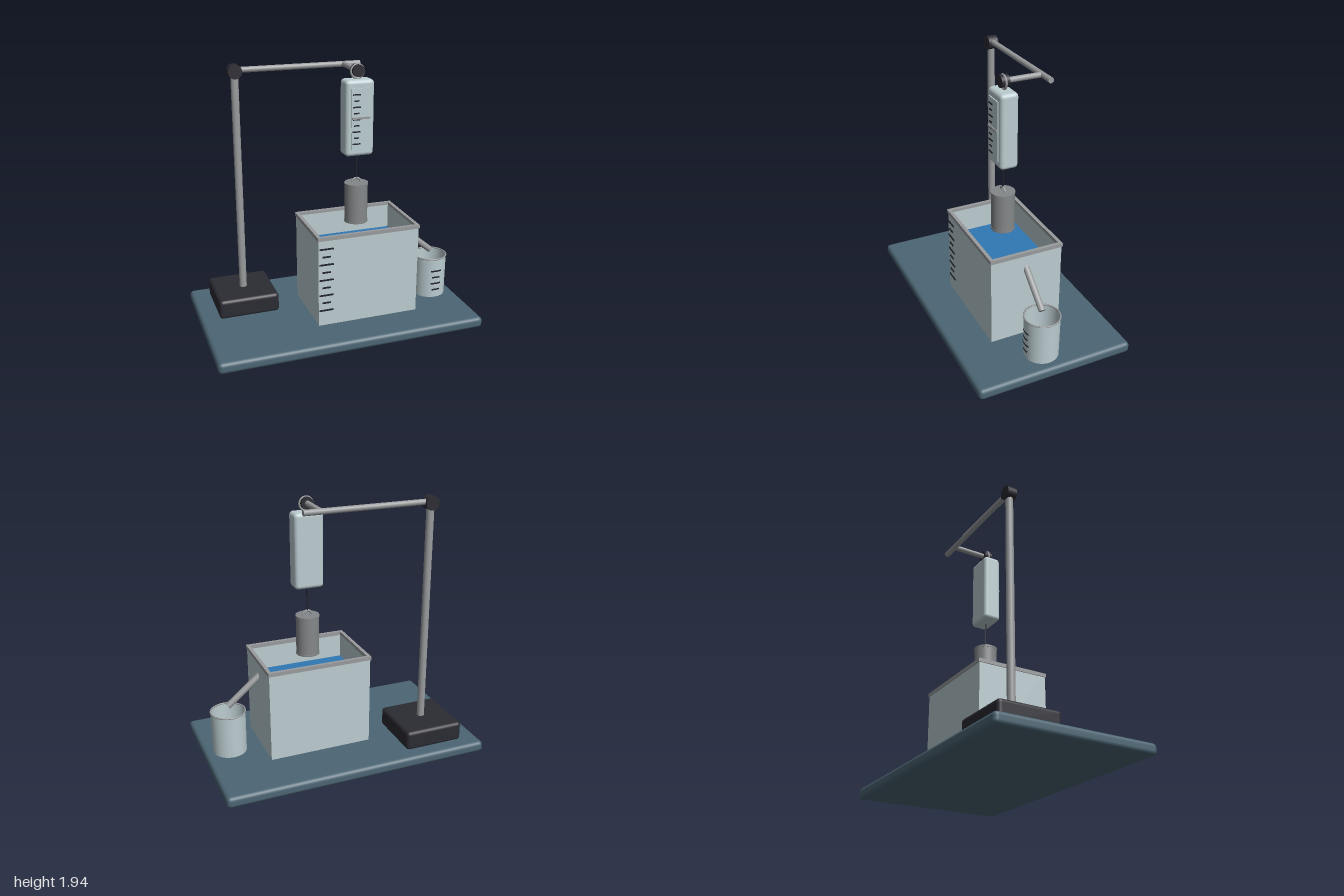
import * as THREE from 'three';
import { RoundedBoxGeometry } from 'three/addons/geometries/RoundedBoxGeometry.js';

const mat = (name, color, side = THREE.FrontSide) => {
  const m = new THREE.MeshStandardMaterial({ color, side });
  m.name = name;
  return m;
};

export function createModel() {
  const model = new THREE.Group();
  model.name = 'displacementExperiment';

  const slate = mat('slate blue', 0x4c6674);
  const dark = mat('charcoal', 0x2b2b33);
  const steel = mat('steel', 0x999b9d);
  const iron = mat('weight grey', 0x85888a);
  const glass = mat('pale glass', 0xbccdd1, THREE.DoubleSide);
  const water = mat('water blue', 0x2f78b4);
  const ink = mat('ink', 0x20242c);

  const add = (name, geo, material, x, y, z, parent = model) => {
    const m = new THREE.Mesh(geo, material);
    m.name = name;
    m.position.set(x, y, z);
    parent.add(m);
    return m;
  };
  const box = (w, h, d) => new THREE.BoxGeometry(w, h, d);
  const rounded = (w, h, d, r) => new RoundedBoxGeometry(w, h, d, 3, r);
  // Round bar between two points
  const rod = (name, a, b, r, material) => {
    const from = new THREE.Vector3(...a), to = new THREE.Vector3(...b);
    const dir = to.clone().sub(from);
    const mid = from.clone().add(to).multiplyScalar(0.5);
    const m = add(name, new THREE.CylinderGeometry(r, r, dir.length(), 24), material, mid.x, mid.y, mid.z);
    m.quaternion.setFromUnitVectors(new THREE.Vector3(0, 1, 0), dir.normalize());
    return m;
  };

  const cx = 0.183, cz = 0.037; // axis of the hanging parts

  // Base board
  add('board', rounded(2, 0.084, 1.18, 0.03), slate, 0, 0.042, 0);

  // Stand with pole, arm and clamps
  add('standBase', rounded(0.456, 0.15, 0.456, 0.028), dark, -0.633, 0.15, -0.255);
  rod('pole', [-0.633, 0.2, -0.25], [-0.633, 1.88, -0.25], 0.028, steel);
  rod('clampKnob', [-0.633, 1.885, -0.288], [-0.633, 1.885, -0.214], 0.051, dark);
  rod('arm', [-0.633, 1.893, -0.252], [0.31, 1.893, -0.252], 0.021, steel);
  rod('crossArm', [cx, 1.893, -0.25], [cx, 1.893, cz], 0.02, steel);
  rod('hangerKnob', [cx, 1.893, 0.006], [cx, 1.893, 0.066], 0.044, dark);
  add('hangerRing', new THREE.TorusGeometry(0.048, 0.008, 10, 32), steel, cx, 1.887, cz);

  // Spring scale with dial plate, marks and pointer
  const scale = new THREE.Group();
  scale.name = 'springScale';
  model.add(scale);
  add('scaleBody', rounded(0.216, 0.55, 0.135, 0.028), glass, cx, 1.56, cz, scale);
  add('scalePlate', box(0.136, 0.44, 0.009), glass, cx, 1.56, 0.109, scale);
  for (let i = 0; i < 9; i++) {
    const w = i % 2 ? 0.038 : 0.058;
    add('scaleMark', box(w, 0.009, 0.006), ink, 0.151, 1.737 - i * 0.0445, 0.116, scale);
  }
  add('pointer', box(0.136, 0.014, 0.009), steel, cx, 1.568, 0.119, scale);

  // Hook wire, loop and weight
  rod('hookWire', [cx, 1.1, cz], [cx, 1.29, cz], 0.006, ink);
  add('weightLoop', new THREE.TorusGeometry(0.034, 0.008, 10, 24, Math.PI), steel, cx, 1.068, cz);
  add('weight', new THREE.CylinderGeometry(0.085, 0.085, 0.3, 40), iron, cx, 0.918, cz);
  for (const y of [0.775, 1.062])
    add('weightBand', new THREE.CylinderGeometry(0.088, 0.088, 0.014, 40), iron, cx, y, cz);

  // Overflow tank: floor, walls, rim, corner edges and water
  const tank = new THREE.Group();
  tank.name = 'tank';
  model.add(tank);
  const W = 0.775, D = 0.545, t = 0.02;
  tank.position.set(0.185, 0, 0.038);
  add('tankFloor', box(W, 0.02, D), glass, 0, 0.098, 0, tank);
  add('water', box(W - 2 * t, 0.47, D - 2 * t), water, 0, 0.342, 0, tank);
  for (const s of [-1, 1]) {
    add('tankLongWall', box(W, 0.66, t), glass, 0, 0.43, s * (D - t) / 2, tank);
    add('tankEndWall', box(t, 0.66, D - 2 * t), glass, s * (W - t) / 2, 0.43, 0, tank);
    add('tankLongRim', box(W + 0.012, 0.028, 0.026), steel, 0, 0.768, s * (D - 0.014) / 2, tank);
    add('tankEndRim', box(0.026, 0.028, D - 0.04), steel, s * (W - 0.014) / 2, 0.768, 0, tank);
  }
  for (let i = 0; i < 9; i++) {
    const w = i % 2 ? 0.062 : 0.106;
    add('tankMark', box(w, 0.011, 0.008), ink, -0.328, 0.69 - i * 0.0602, D / 2 + 0.003, tank);
  }

  // Spout pouring into the beaker
  rod('spout', [0.555, 0.655, cz], [0.81, 0.443, cz], 0.024, steel);

  // Open beaker with a rim and curved marks
  const beaker = new THREE.Group();
  beaker.name = 'beaker';
  beaker.position.set(0.812, 0, cz);
  model.add(beaker);
  add('beakerWall', new THREE.CylinderGeometry(0.128, 0.125, 0.325, 48, 1, true), glass, 0, 0.246, 0, beaker);
  const rim = add('beakerRim', new THREE.TorusGeometry(0.127, 0.006, 8, 48), steel, 0, 0.405, 0, beaker);
  rim.rotation.x = Math.PI / 2;
  for (let i = 0; i < 4; i++) {
    const a = i % 2 ? 0.26 : 0.33;
    add('beakerMark', new THREE.CylinderGeometry(0.131, 0.131, 0.013, 8, 1, true, -a, 2 * a), ink,
      0, 0.307 - i * 0.052, 0, beaker);
  }

  return model;
}
